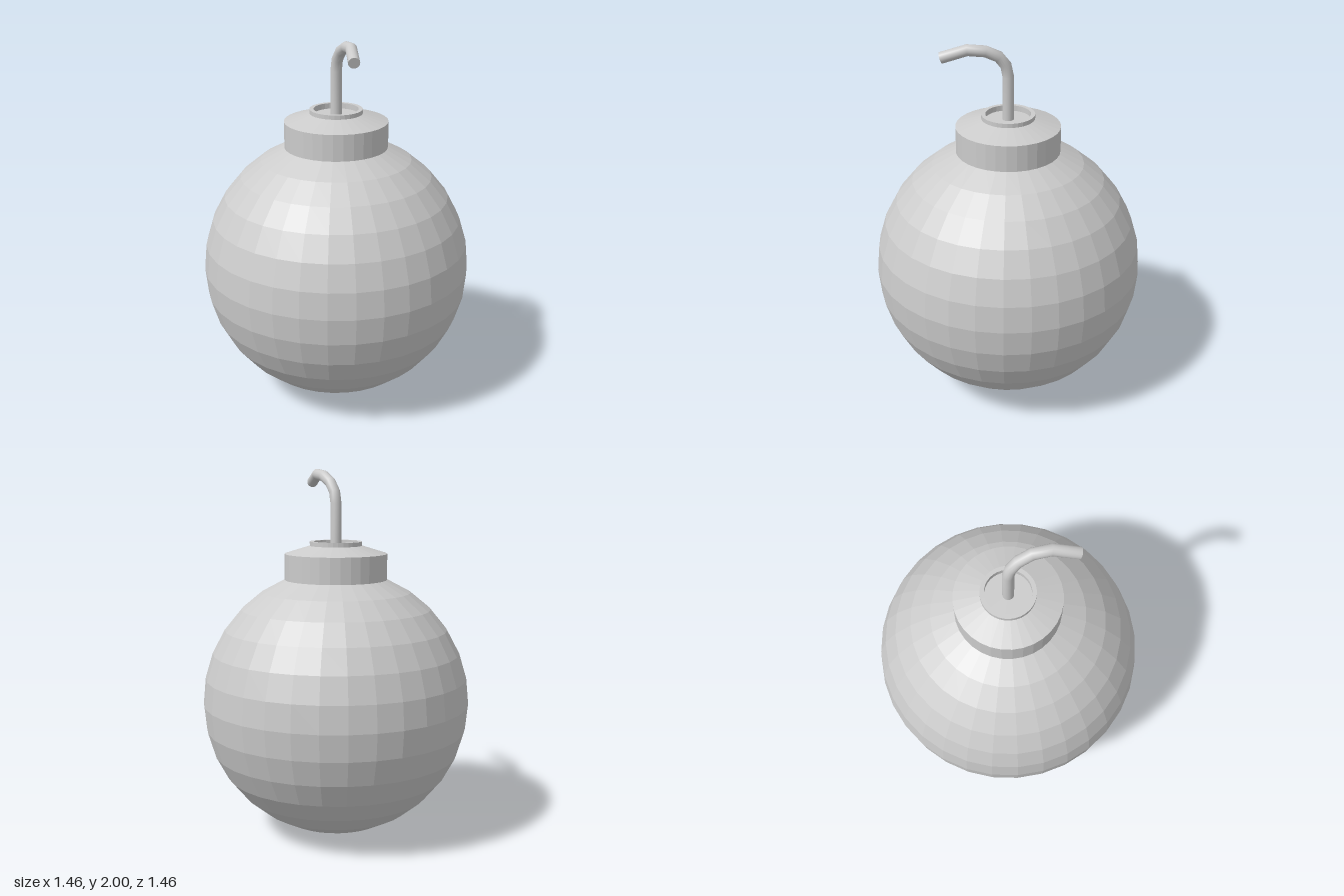
import * as THREE from 'three';

export function createModel() {
  const model = new THREE.Group();
  const flat = new THREE.MeshStandardMaterial({ color: 0xcccccc, flatShading: true });
  const smooth = new THREE.MeshStandardMaterial({ color: 0xcccccc });

  const add = (name, geometry, material) => {
    const mesh = new THREE.Mesh(geometry, material);
    mesh.name = name;
    model.add(mesh);
    return mesh;
  };

  // Round faceted body
  const radius = 0.732;
  add('body', new THREE.SphereGeometry(radius, 32, 16), flat).position.y = radius;

  // Collar with sloped top, raised rim and shallow recess
  const collar = [
    [0.279, 1.40], [0.279, 1.55], [0.142, 1.592], [0.142, 1.615],
    [0.12, 1.615], [0.12, 1.585], [0, 1.585],
  ].map(([x, y]) => new THREE.Vector2(x, y));
  add('collar', new THREE.LatheGeometry(collar, 32), flat);

  // Bent fuse: one ring of the tube at each path point
  const points = [
    [0, 1.56, 0], [0, 1.82, 0], [0.012, 1.88, 0.003], [0.05, 1.93, 0.012],
    [0.115, 1.963, 0.033], [0.197, 1.972, 0.075], [0.306, 1.928, 0.155],
  ].map((p) => new THREE.Vector3(...p));
  const path = new THREE.CatmullRomCurve3(points);
  path.getPointAt = path.getPoint;
  path.getTangentAt = path.getTangent;
  const fuseRadius = 0.03;
  add('fuse', new THREE.TubeGeometry(path, points.length - 1, fuseRadius, 16), smooth);

  // Flat end of the fuse
  const tip = add('fuseTip', new THREE.CircleGeometry(fuseRadius, 16), smooth);
  tip.position.copy(points[points.length - 1]);
  tip.quaternion.setFromUnitVectors(new THREE.Vector3(0, 0, 1), path.getTangent(1));

  return model;
}
